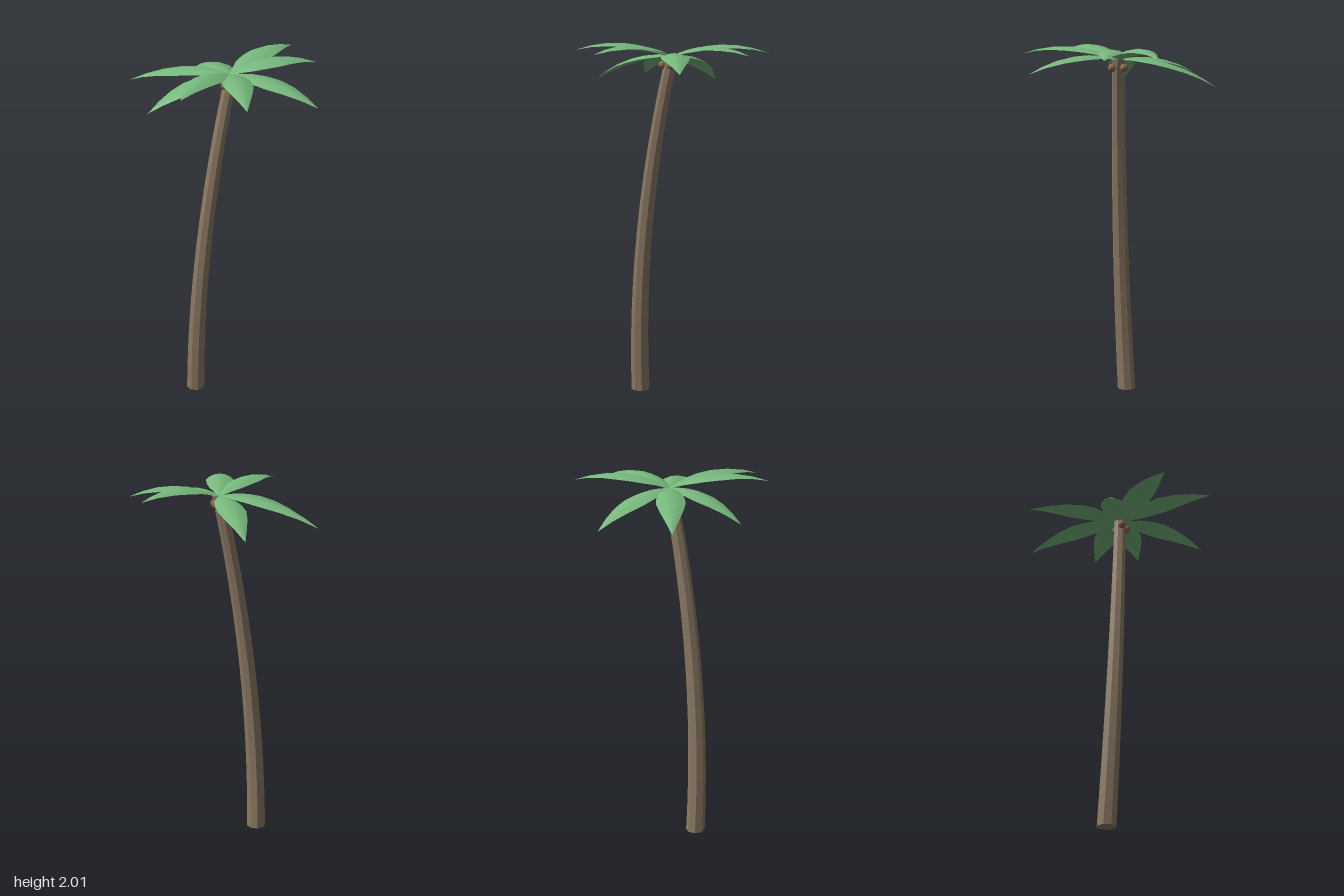
import * as THREE from 'three';

const bark = new THREE.MeshStandardMaterial({ color: 0x8a7862, flatShading: true });
const shell = new THREE.MeshStandardMaterial({ color: 0x8a6248, flatShading: true });
const leaf = new THREE.MeshStandardMaterial({ color: 0x76b87c, side: THREE.DoubleSide });

const CROWN = new THREE.Vector3(-0.01, 1.93, -0.025);

// Half width of a frond along its length: [t, half width]
const WIDTHS = [[0, 0.008], [0.12, 0.035], [0.22, 0.058], [0.35, 0.072], [0.5, 0.076], [0.67, 0.058], [0.84, 0.03], [1, 0]];

// Tip of each frond
const TIPS = [
  [-0.065, 1.78, -0.555], [0.43, 1.95, -0.32], [0.475, 1.94, -0.05], [0.33, 1.86, 0.39],
  [-0.095, 1.955, 0.55], [-0.375, 1.97, 0.355], [-0.475, 1.795, 0.055], [-0.47, 1.81, -0.41],
];

// Bent, tapering eight-sided trunk
function makeTrunk() {
  const height = 1.93;
  const geo = new THREE.CylinderGeometry(0.035, 0.053, 1, 8, 12);
  const p = geo.attributes.position;
  for (let i = 0; i < p.count; i++) {
    const t = p.getY(i) + 0.5;
    p.setXYZ(i,
      p.getX(i) - 0.228 + 0.222 * t * t,
      t * height,
      p.getZ(i) - 0.021 + 0.108 * t * (1 - t));
  }
  geo.computeVertexNormals();
  const mesh = new THREE.Mesh(geo, bark);
  mesh.name = 'trunk';
  return mesh;
}

// Arched leaf with drooping edges, from the crown to its tip
function makeFrond(tip) {
  const rows = WIDTHS.length - 1;
  const geo = new THREE.PlaneGeometry(1, 1, 4, rows);
  const p = geo.attributes.position;
  const end = new THREE.Vector3(...tip);
  const along = end.clone().sub(CROWN).setY(0).normalize();
  const side = new THREE.Vector3(-along.z, 0, along.x);
  const v = new THREE.Vector3();
  for (let i = 0; i < p.count; i++) {
    const s = p.getX(i) * 2;
    const [t, w] = WIDTHS[Math.round((p.getY(i) + 0.5) * rows)];
    v.lerpVectors(CROWN, end, t).addScaledVector(side, s * w);
    v.y += 0.22 * t * (1 - t) - 0.28 * w * s * s;
    p.setXYZ(i, v.x, v.y, v.z);
  }
  geo.computeVertexNormals();
  return new THREE.Mesh(geo, leaf);
}

export function createModel() {
  const palm = new THREE.Group();
  palm.name = 'palmTree';
  palm.add(makeTrunk());

  const fronds = new THREE.Group();
  fronds.name = 'fronds';
  TIPS.forEach((tip, i) => {
    const frond = makeFrond(tip);
    frond.name = `frond${i + 1}`;
    fronds.add(frond);
  });
  palm.add(fronds);

  // Coconuts under the crown
  const nuts = new THREE.Group();
  nuts.name = 'coconuts';
  [[0.012, 0.012], [0.01, -0.053], [-0.05, 0.005]].forEach(([x, z], i) => {
    const nut = new THREE.Mesh(new THREE.SphereGeometry(0.023, 8, 6), shell);
    nut.position.set(x, 1.885, z);
    nut.name = `coconut${i + 1}`;
    nuts.add(nut);
  });
  palm.add(nuts);
  return palm;
}
